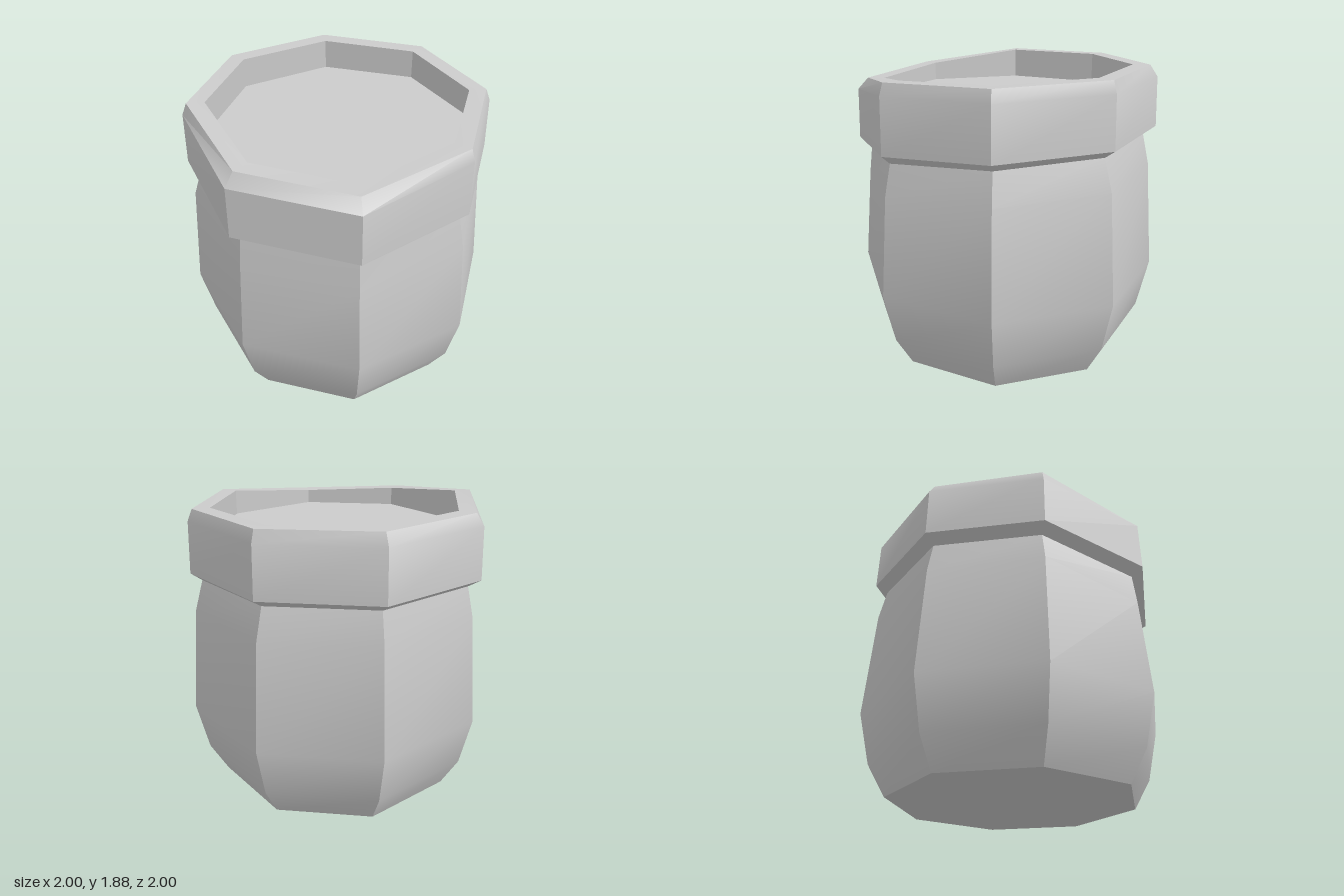
import * as THREE from 'three';
import { toCreasedNormals } from 'three/addons/utils/BufferGeometryUtils.js';

const SIDES = 8;
// Uneven rim, one value per corner, starting at +x and turning towards +z
const lipLow = [1.42, 1.38, 1.41, 1.485, 1.485, 1.49, 1.48, 1.46];
const lipHigh = [1.85, 1.78, 1.81, 1.885, 1.885, 1.885, 1.88, 1.865];
const lipRadius = [0.955, 1.0, 1.0, 0.96, 0.98, 0.98, 0.955, 0.96];
const neckRadius = [0.9, 0.92, 0.92, 0.88, 0.9, 0.9, 0.88, 0.89];

// A ring is a function of the corner index giving [radius, height]
const level = (r, y) => () => [r, y];
const neck = (i) => [neckRadius[i], lipLow[i] - 0.05];

// Skins consecutive octagonal rings, keeping the upright corners sharp
function loft(name, rings, material) {
  const pos = [];
  const corner = (ring, i) => {
    const k = i % SIDES;
    const a = (k * Math.PI * 2) / SIDES;
    const [r, y] = ring(k);
    return new THREE.Vector3(r * Math.cos(a), y, r * Math.sin(a));
  };
  const tri = (a, b, c) => {
    if (a.equals(b) || b.equals(c) || c.equals(a)) return;
    for (const p of [a, b, c]) pos.push(p.x, p.y, p.z);
  };
  for (let j = 0; j < rings.length - 1; j++) {
    for (let i = 0; i < SIDES; i++) {
      const a = corner(rings[j], i), b = corner(rings[j + 1], i);
      const c = corner(rings[j], i + 1), d = corner(rings[j + 1], i + 1);
      tri(a, b, c);
      tri(c, b, d);
    }
  }
  const geometry = new THREE.BufferGeometry();
  geometry.setAttribute('position', new THREE.Float32BufferAttribute(pos, 3));
  const mesh = new THREE.Mesh(toCreasedNormals(geometry, 0.6), material);
  mesh.name = name;
  return mesh;
}

export function createModel() {
  const group = new THREE.Group();
  group.name = 'sack';
  const material = new THREE.MeshStandardMaterial({ color: 0xcccccc });

  // Bulging body with a closed base
  group.add(loft('body', [
    level(0, 0),
    level(0.81, 0),
    level(0.925, 0.2),
    level(1.0, 0.53),
    (i) => [0.945, lipLow[i] - 0.25],
    neck,
  ], material));

  // Rolled rim: underside, outer band, bevel, top and inner wall
  group.add(loft('rim', [
    neck,
    (i) => [lipRadius[i], lipLow[i]],
    (i) => [lipRadius[i] - 0.01, lipHigh[i] - 0.075],
    (i) => [0.92, lipHigh[i]],
    (i) => [0.81, lipHigh[i]],
    level(0.81, 1.69),
  ], material));

  // Flat contents closing the mouth
  group.add(loft('filling', [level(0.81, 1.69), level(0, 1.69)], material));
  return group;
}
